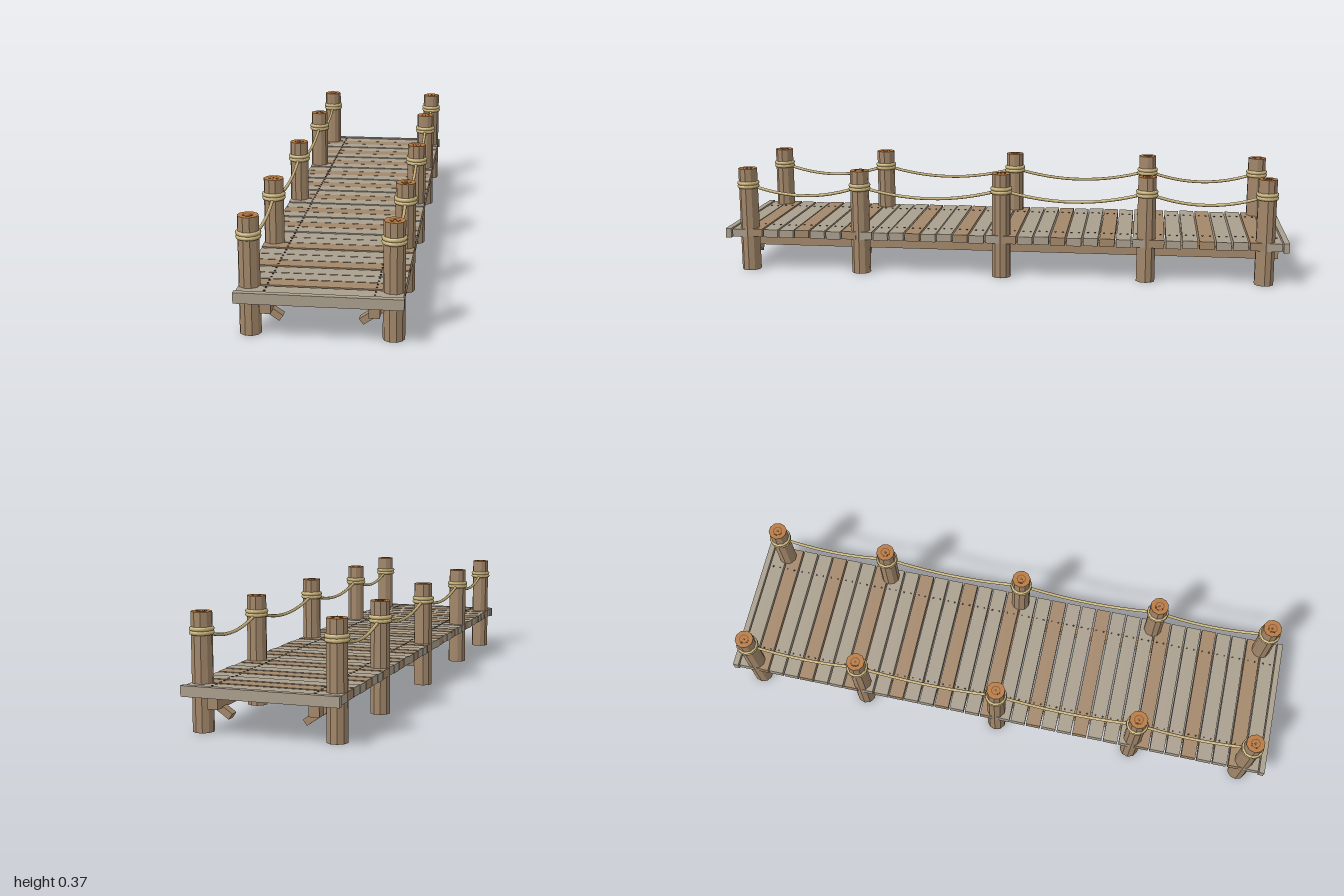
import * as THREE from 'three';

const material = (name, color, flatShading = false) => {
  const m = new THREE.MeshStandardMaterial({ color, flatShading });
  m.name = name;
  return m;
};

export function createModel() {
  const greyWood = material('weatheredGreyWood', 0xaa9f8e);
  const brownWood = material('brownWood', 0xa3876a, true);
  const rope = material('rope', 0xc8b27a);
  const endGrain = material('endGrain', 0xb87a42);
  const darkGrain = material('darkGrain', 0x8a5a32);
  const iron = material('nailIron', 0x4a4440);

  const model = new THREE.Group();
  model.name = 'dock';

  const add = (parent, name, geometry, mat, x = 0, y = 0, z = 0) => {
    const mesh = new THREE.Mesh(geometry, mat);
    mesh.name = name;
    mesh.position.set(x, y, z);
    parent.add(mesh);
    return mesh;
  };
  const box = (w, h, d) => new THREE.BoxGeometry(w, h, d);

  const postX = 0.218;
  const postZ = [-0.92, -0.51, 0, 0.51, 0.92];

  // Deck planks with nails, every third or so in brown
  const count = 34, pitch = 0.0576;
  const brown = new Set([1, 4, 7, 10, 13, 16, 19, 22, 26, 29, 32]);
  const nail = new THREE.CylinderGeometry(0.0035, 0.0035, 0.003, 6);
  for (let i = 0; i < count; i++) {
    const plank = new THREE.Group();
    plank.name = 'plank';
    plank.position.set(0, 0.139 + 0.001 * ((i * 7) % 3 - 1), (i - (count - 1) / 2) * pitch);
    model.add(plank);
    add(plank, 'plankBoard', box(0.5, 0.028, 0.052), brown.has(i) ? brownWood : greyWood);
    for (const x of [-0.165, 0.165]) {
      for (const z of [-0.013, 0.013]) add(plank, 'nail', nail, iron, x, 0.0145, z);
    }
  }

  // Boards closing both ends of the deck
  for (const s of [-1, 1]) add(model, 'endBoard', box(0.508, 0.034, 0.02), greyWood, 0, 0.138, s * 0.99);

  // Supports beneath the deck
  for (const s of [-1, 1]) add(model, 'stringer', box(0.034, 0.042, 1.94), brownWood, s * 0.163, 0.102, 0);
  add(model, 'crossBeam', box(0.4, 0.05, 0.036), brownWood, 0, 0.092, 0);

  // Posts, caps, rope wraps and braces
  const postGeometry = new THREE.CylinderGeometry(0.033, 0.034, 0.37, 10).rotateY(Math.PI / 10);
  const capGeometry = new THREE.CylinderGeometry(0.033, 0.033, 0.002, 10).rotateY(Math.PI / 10);
  const ringGeometry = new THREE.CylinderGeometry(0.0175, 0.0175, 0.002, 12);
  const innerGeometry = new THREE.CylinderGeometry(0.0135, 0.0135, 0.002, 12);
  const heartGeometry = new THREE.CylinderGeometry(0.005, 0.005, 0.002, 8);
  const wrapGeometry = new THREE.TorusGeometry(0.032, 0.007, 8, 20).rotateX(Math.PI / 2);
  for (const s of [-1, 1]) {
    for (const z of postZ) {
      const post = new THREE.Group();
      post.name = 'post';
      post.position.set(s * postX, 0, z);
      model.add(post);
      add(post, 'postShaft', postGeometry, brownWood, 0, 0.185);
      add(post, 'postEndGrain', capGeometry, endGrain, 0, 0.371);
      add(post, 'grainRing', ringGeometry, darkGrain, 0, 0.372);
      add(post, 'grainInner', innerGeometry, endGrain, 0, 0.3725);
      add(post, 'grainHeart', heartGeometry, darkGrain, 0, 0.373);
      for (const y of [0.307, 0.319]) add(post, 'ropeWrap', wrapGeometry, rope, 0, y);
      if (z !== 0) {
        const brace = add(model, 'brace', box(0.09, 0.022, 0.03), brownWood, s * 0.158, 0.08, z);
        brace.rotation.z = s * 0.6;
      }
    }

    // Sagging ropes from post to post
    for (let i = 0; i < postZ.length - 1; i++) {
      const a = postZ[i], b = postZ[i + 1];
      const curve = new THREE.QuadraticBezierCurve3(
        new THREE.Vector3(s * postX, 0.313, a),
        new THREE.Vector3(s * postX, 0.237, (a + b) / 2),
        new THREE.Vector3(s * postX, 0.313, b)
      );
      add(model, 'handRope', new THREE.TubeGeometry(curve, 16, 0.0055, 8), rope);
    }
  }
  return model;
}
